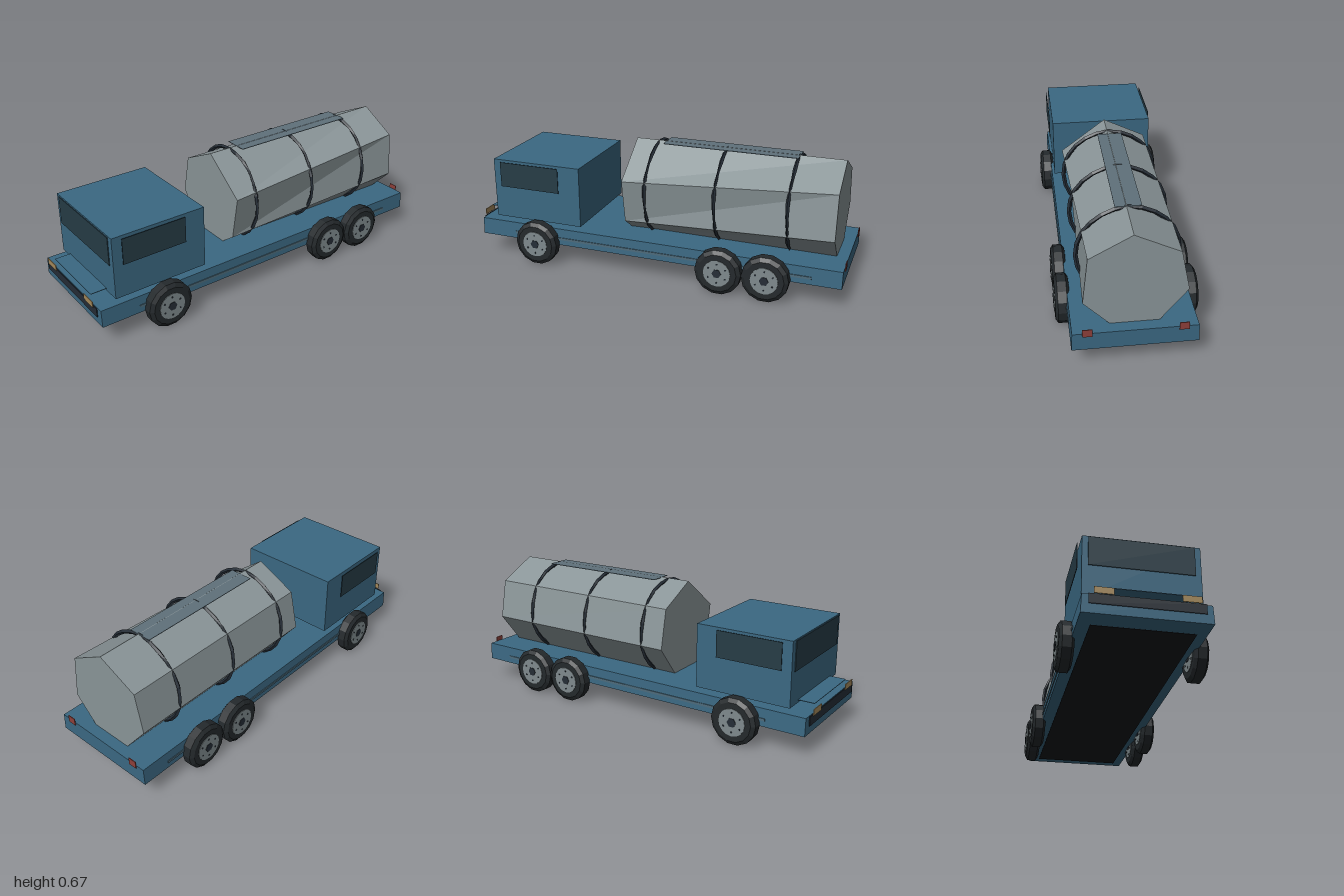
import * as THREE from 'three';

const mat = (color, extra = {}) => new THREE.MeshStandardMaterial({ color, flatShading: true, ...extra });
const M = {
  blue: mat(0x3b6882), glass: mat(0x263c46), tank: mat(0x8a9598, { side: THREE.DoubleSide }),
  dark: mat(0x252d36), under: mat(0x12151b), tyre: mat(0x24292c), hub: mat(0x7f8a8d),
  strip: mat(0x4d6b7b), walk: mat(0x5f717b), lamp: mat(0xa58a5c), red: mat(0x8f403a),
};

function add(parent, name, geometry, material) {
  const mesh = new THREE.Mesh(geometry, material);
  mesh.name = name;
  parent.add(mesh);
  return mesh;
}

// Box given by its limits on each axis
function box(parent, name, material, [x0, x1], [y0, y1], [z0, z1]) {
  const mesh = add(parent, name, new THREE.BoxGeometry(x1 - x0, y1 - y0, z1 - z0), material);
  mesh.position.set((x0 + x1) / 2, (y0 + y1) / 2, (z0 + z1) / 2);
  return mesh;
}

// Seven-sided barrel joined from two slightly twisted end sections
function tankGeometry() {
  const ends = [
    { z: 0.17, angles: [2, 72, 128, 160, 206, 257, 306] },
    { z: -0.93, angles: [2, 56, 112, 156, 206, 257, 306] },
  ];
  const pos = [], index = [], n = 7;
  for (const { z, angles } of ends) {
    for (const a of angles) {
      const t = THREE.MathUtils.degToRad(a);
      pos.push(0.25 * Math.sin(t), 0.42 + 0.25 * Math.cos(t), z);
    }
  }
  for (let i = 0; i < n; i++) {
    const j = (i + 1) % n;
    index.push(i, n + i, j, j, n + i, n + j);
    if (i > 0 && i < n - 1) index.push(0, i + 1, i, n, n + i, n + i + 1);
  }
  const g = new THREE.BufferGeometry();
  g.setAttribute('position', new THREE.Float32BufferAttribute(pos, 3));
  g.setIndex(index);
  const flat = g.toNonIndexed();
  flat.computeVertexNormals();
  return flat;
}

// Wheel with its axle along x, outer face towards +x
function wheel() {
  const g = new THREE.Group();
  g.name = 'wheel';
  const profile = [[0, -0.035], [0.1, -0.035], [0.12, -0.022], [0.12, 0.022], [0.1, 0.035], [0, 0.035]]
    .map(([r, y]) => new THREE.Vector2(r, y));
  add(g, 'tyre', new THREE.LatheGeometry(profile, 14).rotateZ(-Math.PI / 2), M.tyre);
  for (const s of [-1, 1]) {
    const hub = add(g, 'hub', new THREE.CylinderGeometry(0.07, 0.07, 0.006, 16).rotateZ(Math.PI / 2), M.hub);
    hub.position.x = s * 0.035;
    const cap = add(g, 'hubCap', new THREE.CylinderGeometry(0.024, 0.024, 0.006, 6).rotateZ(Math.PI / 2), M.dark);
    cap.position.x = s * 0.038;
    for (let i = 0; i < 6; i++) {
      const a = i * Math.PI / 3;
      const bolt = add(g, 'wheelBolt', new THREE.CylinderGeometry(0.005, 0.005, 0.004, 6).rotateZ(Math.PI / 2), M.dark);
      bolt.position.set(s * 0.038, 0.05 * Math.cos(a), 0.05 * Math.sin(a));
    }
  }
  return g;
}

export function createModel() {
  const truck = new THREE.Group();
  truck.name = 'tankTruck';

  // Chassis, slightly narrower at the top
  const chassis = box(truck, 'chassis', M.blue, [-0.29, 0.29], [0.113, 0.203], [-0.988, 0.982]);
  const p = chassis.geometry.attributes.position;
  for (let i = 0; i < p.count; i++) if (p.getY(i) > 0) p.setX(i, p.getX(i) * 0.985);
  box(truck, 'underPlate', M.under, [-0.235, 0.235], [0.1, 0.102], [-0.9, 0.9]);

  // Cab
  box(truck, 'cab', M.blue, [-0.273, 0.273], [0.227, 0.55], [0.395, 0.895]);
  box(truck, 'windscreen', M.glass, [-0.245, 0.245], [0.398, 0.545], [0.897, 0.901]);
  box(truck, 'frontStep', M.blue, [-0.19, 0.19], [0.241, 0.244], [0.897, 0.98]);
  box(truck, 'grille', M.dark, [-0.257, 0.257], [0.156, 0.203], [0.986, 0.99]);

  // Paired parts
  for (const s of [-1, 1]) {
    const span = (a, b) => (s > 0 ? [a, b] : [-b, -a]);
    box(truck, 'sideWindow', M.glass, span(0.285, 0.288), [0.405, 0.54], [0.51, 0.85]);
    box(truck, 'headlight', M.lamp, span(0.148, 0.235), [0.202, 0.233], [0.994, 0.998]);
    box(truck, 'tailLight', M.red, span(0.195, 0.24), [0.188, 0.227], [-0.993, -0.989]);
    box(truck, 'sideStrip', M.strip, span(0.289, 0.293), [0.142, 0.155], [-0.84, 0.78]);
    for (const z of [0.635, -0.38, -0.62]) {
      const w = wheel();
      w.position.set(s * 0.308, 0.12, z);
      truck.add(w);
    }
  }

  // Tank with its straps and walkway
  add(truck, 'tank', tankGeometry(), M.tank);
  for (const z of [0.045, -0.325, -0.695]) {
    const strap = new THREE.TorusGeometry(0.241, 0.011, 4, 24);
    const q = strap.attributes.position;
    // Ripple the strap a little along the tank
    for (let i = 0; i < q.count; i++) {
      const a = Math.atan2(q.getY(i), q.getX(i));
      q.setZ(i, q.getZ(i) * (0.75 + 0.25 * Math.sin(7 * a)) + 0.002 * Math.sin(5 * a));
    }
    add(truck, 'strap', strap, M.dark).position.set(0, 0.42, z);
  }
  box(truck, 'walkway', M.walk, [-0.062, 0.062], [0.666, 0.669], [-0.7, 0.005]);

  return truck;
}
